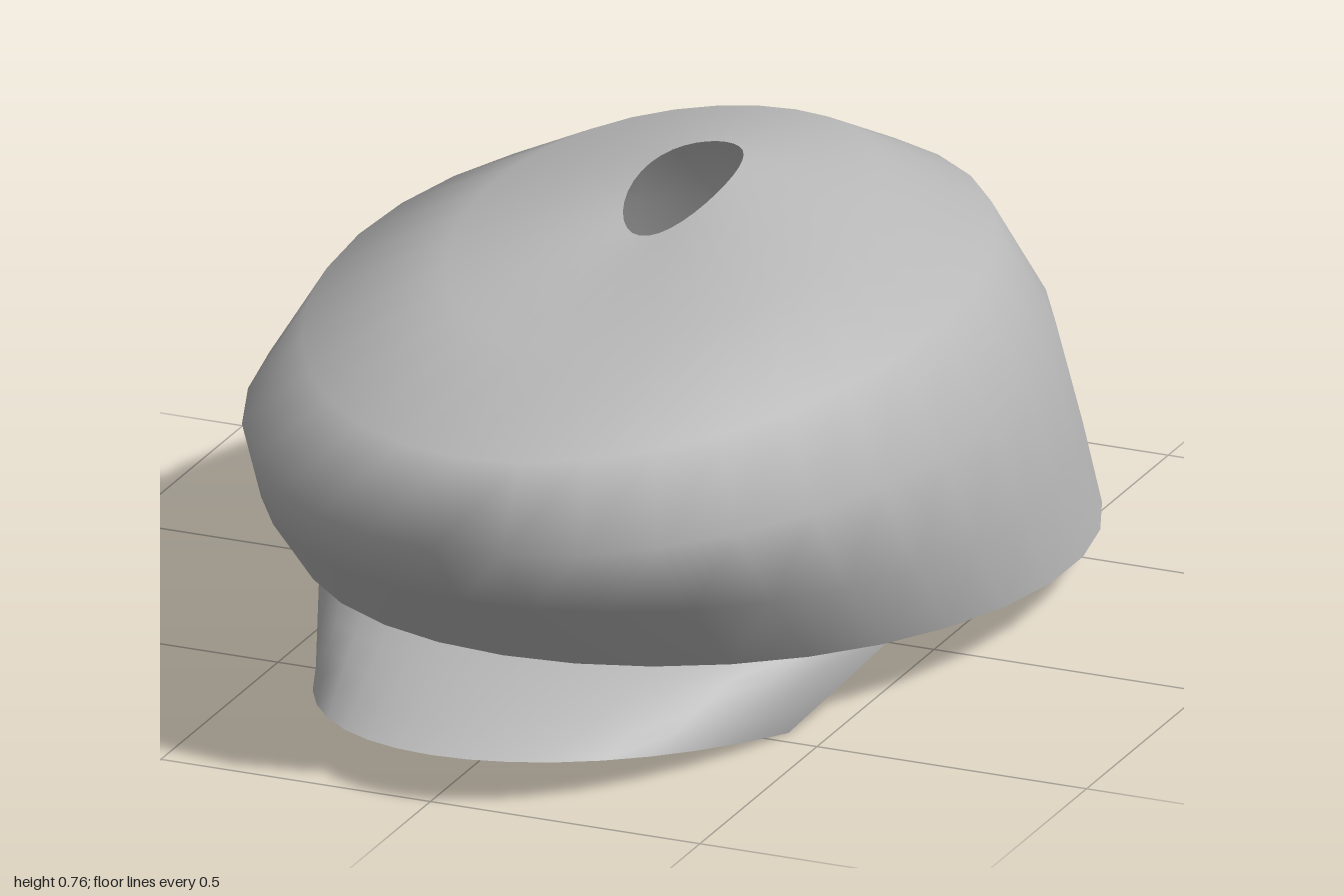
import * as THREE from 'three';

const cloth = new THREE.MeshStandardMaterial({ color: 0xb8b8b8, side: THREE.DoubleSide });
cloth.name = 'greyCloth';

// Smooth skin through rows of points; closed rows join their last point to the first.
function loft(name, rows, closed) {
  const n = rows[0].length;
  const index = [];
  for (let r = 0; r < rows.length - 1; r++) {
    for (let i = 0; i < (closed ? n : n - 1); i++) {
      const a = r * n + i, b = r * n + (i + 1) % n;
      index.push(a, b, b + n, a, b + n, a + n);
    }
  }
  const geometry = new THREE.BufferGeometry();
  geometry.setAttribute('position', new THREE.Float32BufferAttribute(rows.flat(2), 3));
  geometry.setIndex(index);
  geometry.computeVertexNormals();
  const mesh = new THREE.Mesh(geometry, cloth);
  mesh.name = name;
  return mesh;
}

// Oval ring bent to pass through its front, side and back heights.
function ring([halfWidth, zFront, zBack, yFront, ySide, yBack]) {
  const points = [];
  for (let i = 0; i < 32; i++) {
    const a = i / 32 * Math.PI * 2, c = Math.cos(a);
    points.push([
      halfWidth * Math.sin(a),
      ySide + (yFront - yBack) / 2 * c + ((yFront + yBack) / 2 - ySide) * c * c,
      (zFront + zBack) / 2 + (zFront - zBack) / 2 * c,
    ]);
  }
  return points;
}

// Visor rows run from the drooping outer edge to just inside the cap's rim.
function visorRows() {
  const steps = 16, levels = 4, rows = [];
  const inner = THREE.MathUtils.degToRad(62), outer = THREE.MathUtils.degToRad(65);
  for (let r = 0; r <= levels; r++) {
    const t = r / levels, row = [];
    for (let i = 0; i <= steps; i++) {
      const s = i / steps * 2 - 1;
      const a = s * outer, b = s * inner;
      const drop = (1 - Math.cos(a)) / (1 - Math.cos(outer));
      const edge = new THREE.Vector3(0.43 * Math.sin(a) / Math.sin(outer), 0.085 - 0.085 * drop, 1 - 0.54 * drop);
      const rim = new THREE.Vector3(0.61 * Math.sin(b), 0.0925 + 0.065 * Math.cos(b), -0.155 + 0.835 * Math.cos(b));
      row.push(edge.lerp(rim, t).toArray());
    }
    rows.push(row);
  }
  return rows;
}

export function createModel() {
  const cap = new THREE.Group();
  cap.name = 'cap';

  // Crown, from the open rim up to the hole in the top:
  // half width, front z, back z, front y, side y, back y
  const rings = [
    [0.65, 0.69, -1.0, 0.157, 0.09, 0.025],
    [0.655, 0.87, -0.935, 0.32, 0.25, 0.225],
    [0.637, 1.0, -0.865, 0.46, 0.455, 0.43],
    [0.54, 0.88, -0.755, 0.585, 0.62, 0.61],
    [0.33, 0.55, -0.56, 0.665, 0.715, 0.71],
    [0.078, 0.105, -0.265, 0.715, 0.755, 0.755],
  ];
  cap.add(loft('crown', rings.map(ring), true));

  cap.add(loft('visor', visorRows(), false));
  return cap;
}
